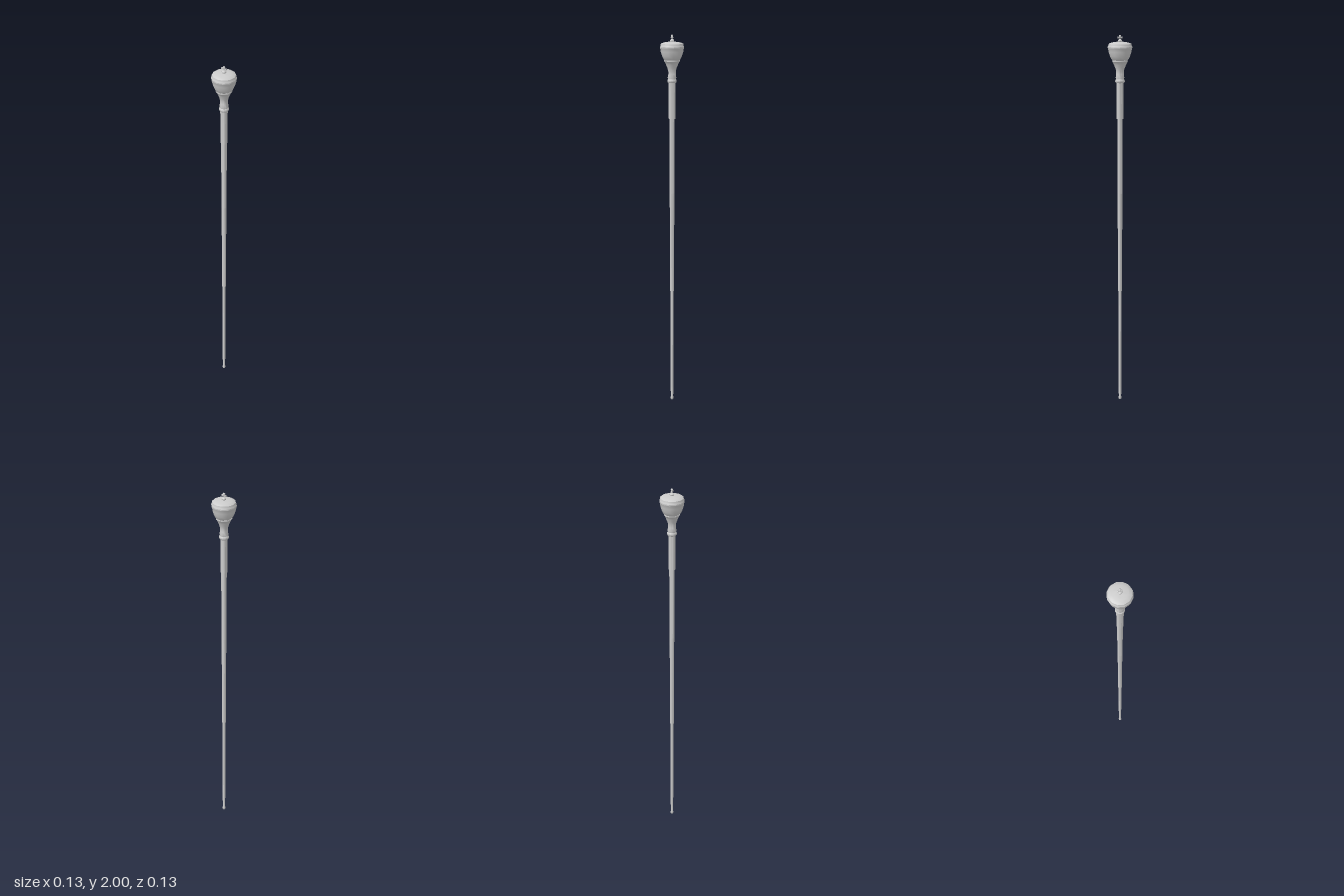
import * as THREE from 'three';
import { toCreasedNormals } from 'three/addons/utils/BufferGeometryUtils.js';

const material = new THREE.MeshStandardMaterial({ color: 0xcccccc });
const SIDES = 12;

function addMesh(parent, name, geometry) {
  const mesh = new THREE.Mesh(geometry, material);
  mesh.name = name;
  parent.add(mesh);
  return mesh;
}

// Turned part: profile of [radius, height] pairs from bottom to top
function addTurned(parent, name, profile, sides = SIDES) {
  const points = profile.map(([r, y]) => new THREE.Vector2(r, y));
  const geometry = new THREE.LatheGeometry(points, sides);
  return addMesh(parent, name, toCreasedNormals(geometry, 0.7));
}

export function createModel() {
  const model = new THREE.Group();
  model.name = 'ceremonialStaff';

  // Shaft sections, stepping thicker towards the head: [name, bottom, top, radius low, radius high]
  const sections = [
    ['lowerShaft', 0.08, 0.62, 0.0075, 0.0085],
    ['middleShaft', 0.62, 1.16, 0.0115, 0.0125],
    ['upperShaft', 1.16, 1.56, 0.014, 0.0145],
    ['grip', 1.56, 1.76, 0.0175, 0.019],
  ];
  for (const [name, y0, y1, r0, r1] of sections) {
    addTurned(model, name, [[0, y0], [r0, y0], [r1, y1], [0, y1]]);
  }

  // Metal foot
  addTurned(model, 'ferrule', [
    [0, 0], [0.006, 0], [0.008, 0.004], [0.008, 0.012], [0.0068, 0.016], [0.0075, 0.08], [0, 0.08],
  ]);

  // Rounded ring under the head
  addTurned(model, 'collar', [
    [0, 1.75], [0.021, 1.75], [0.025, 1.756], [0.025, 1.764], [0.021, 1.77], [0, 1.77],
  ]);

  // Neck flaring up into the cup
  addTurned(model, 'neck', [
    [0.021, 1.768], [0.023, 1.778], [0.02, 1.795], [0.02, 1.81], [0.024, 1.826],
    [0.032, 1.845], [0.039, 1.86], [0.042, 1.862], [0.042, 1.868], [0.038, 1.868],
  ]);

  // Flared cup with its rim
  addTurned(model, 'cup', [
    [0.038, 1.866], [0.045, 1.873], [0.053, 1.89], [0.06, 1.912], [0.063, 1.93],
    [0.0645, 1.932], [0.0645, 1.938], [0.062, 1.941], [0.06, 1.953],
  ]);

  // Shallow domed top
  addTurned(model, 'domedCap', [
    [0.06, 1.953], [0.055, 1.957], [0.04, 1.961], [0.02, 1.964], [0, 1.965],
  ]);

  // Finial: small knob carrying a cross
  const finial = new THREE.Group();
  finial.name = 'finial';
  model.add(finial);
  addTurned(finial, 'finialKnob', [
    [0.008, 1.962], [0.0115, 1.967], [0.0115, 1.971], [0.008, 1.976], [0.004, 1.978], [0, 1.978],
  ], 10);
  addTurned(finial, 'crossPost', [
    [0.0035, 1.976], [0.003, 1.985], [0.0065, 1.992], [0.0065, 1.996], [0.003, 2], [0, 2],
  ], 8);
  for (const side of [-1, 1]) {
    const arm = addTurned(finial, side > 0 ? 'leftCrossArm' : 'rightCrossArm', [
      [0.0025, 0], [0.003, 0.006], [0.0055, 0.011], [0.0045, 0.014], [0, 0.015],
    ], 8);
    arm.position.y = 1.986;
    arm.rotation.z = -side * Math.PI / 2;
  }

  return model;
}
